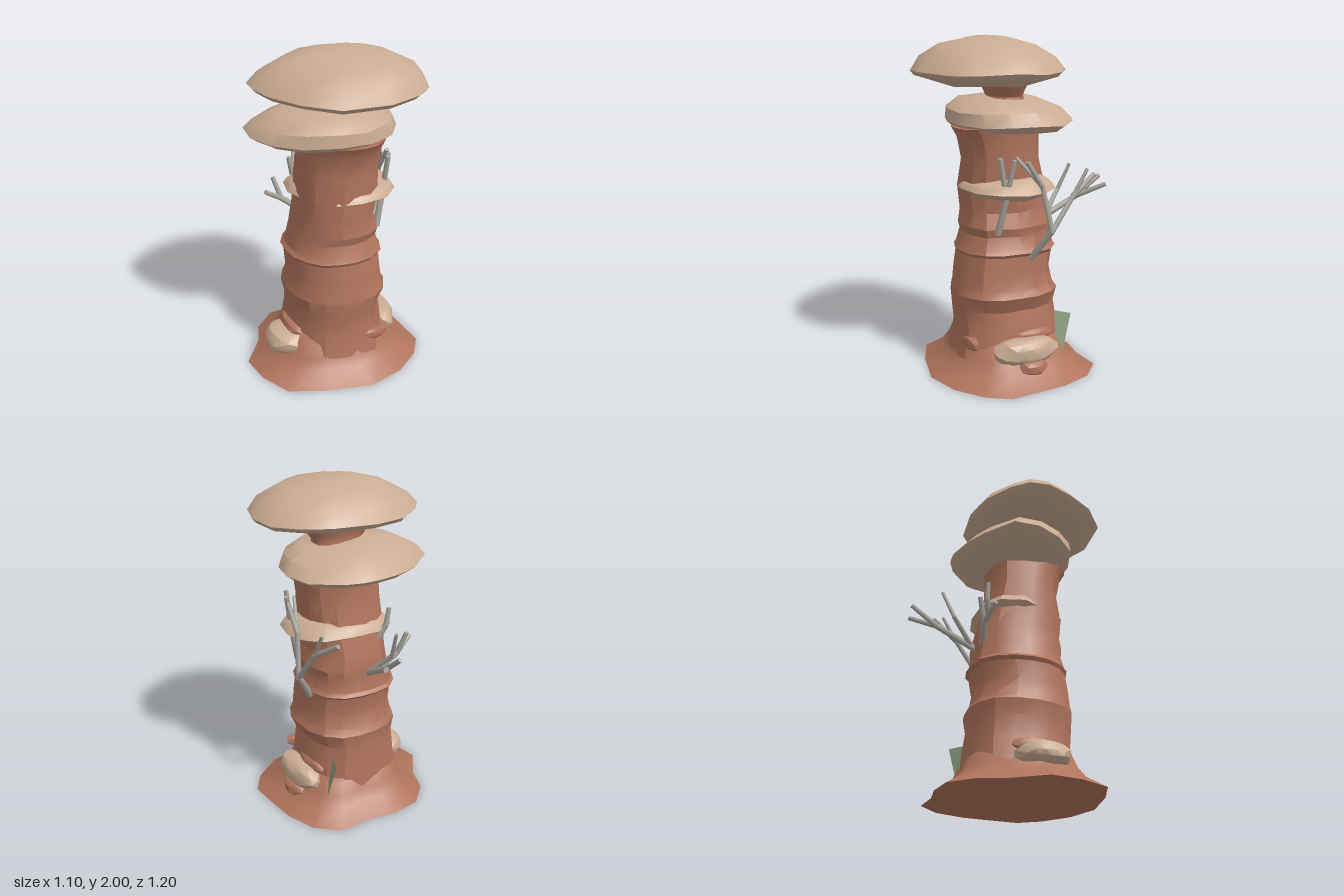
import * as THREE from 'three';
import { toCreasedNormals } from 'three/addons/utils/BufferGeometryUtils.js';

const mat = (name, color) => {
  const m = new THREE.MeshStandardMaterial({ color });
  m.name = name;
  return m;
};

// Smooth, repeatable unevenness from a position
const wobble = (x, y, z) =>
  Math.sin(x * 11 + y * 17 + 1) * 0.5 + Math.sin(z * 13 - y * 9 + x * 5) * 0.5;

// Skin a stack of closed rings (each running from +x towards +z), closing both ends
function loft(rings, crease = 0.6) {
  const n = rings[0].length, pos = [], idx = [];
  rings.forEach(r => r.forEach(p => pos.push(...p)));
  const ends = [rings[0], rings[rings.length - 1]];
  ends.forEach(r => pos.push(...[0, 1, 2].map(k => r.reduce((s, p) => s + p[k], 0) / n)));
  const bottom = rings.length * n, top = bottom + 1, last = (rings.length - 1) * n;
  for (let i = 0; i < n; i++) {
    const j = (i + 1) % n;
    for (let r = 0; r < last; r += n) {
      idx.push(r + i, r + n + i, r + j, r + j, r + n + i, r + n + j);
    }
    idx.push(bottom, i, j, top, last + j, last + i);
  }
  const g = new THREE.BufferGeometry();
  g.setAttribute('position', new THREE.Float32BufferAttribute(pos, 3));
  g.setIndex(idx);
  return toCreasedNormals(g, crease);
}

// Stack scaled copies of a plan outline; layers are [scale, y, forward shift]
function stack(outline, layers, amp, crease) {
  const mid = k => {
    const v = outline.map(p => p[k]);
    return (Math.max(...v) + Math.min(...v)) / 2;
  };
  const cx = mid(0), cz = mid(1);
  return loft(layers.map(([s, y, dz = 0]) => outline.map(([x, z]) => {
    const px = cx + (x - cx) * s, pz = cz + (z - cz) * s + dz;
    return [px, y + amp * wobble(px, y, pz), pz];
  })), crease);
}

// Rounded-square ring filling a box in plan, with a blunter front corner on the -x side
function ring([y, x0, x1, z0, z1], n = 18) {
  const pts = [];
  for (let i = 0; i < n; i++) {
    const a = (i / n) * Math.PI * 2, c = Math.cos(a), s = Math.sin(a);
    const e = c < 0 && s > 0 ? 2 : 2.6;
    const k = Math.pow(Math.abs(c) ** e + Math.abs(s) ** e, -1 / e);
    const w = 1 + 0.02 * wobble(c, y * 0.4, s);
    pts.push([(x0 + x1) / 2 + c * k * w * (x1 - x0) / 2, y + 0.004 * wobble(s, y, c),
      (z0 + z1) / 2 + s * k * w * (z1 - z0) / 2]);
  }
  return pts;
}

function boulder(rx, ry, rz) {
  const g = new THREE.IcosahedronGeometry(1, 2), p = g.attributes.position;
  const v = new THREE.Vector3();
  for (let i = 0; i < p.count; i++) {
    v.fromBufferAttribute(p, i);
    v.multiplyScalar(1 + 0.07 * wobble(v.x * 0.4, v.y * 0.4, v.z * 0.4));
    v.y = Math.max(-0.75, Math.min(0.8, v.y));
    p.setXYZ(i, v.x * rx, v.y * ry, v.z * rz);
  }
  g.deleteAttribute('uv');
  return toCreasedNormals(g, 0.5);
}

export function createModel() {
  const red = mat('red rock', 0xb0745c), tan = mat('tan stone', 0xcaac93);
  const wood = mat('dead wood', 0xa8a49d), green = mat('leaf green', 0x8c9d80);
  green.side = THREE.DoubleSide;
  const model = new THREE.Group();
  model.name = 'rockPillar';
  const add = (name, geo, m, parent = model) => {
    const mesh = new THREE.Mesh(geo, m);
    mesh.name = name;
    parent.add(mesh);
    return mesh;
  };

  // Spreading foot
  const foot = [[0.53, 0.05], [0.546, 0.234], [0.464, 0.364], [0.3, 0.49], [0.08, 0.555],
    [-0.2, 0.5], [-0.416, 0.418], [-0.514, 0.237], [-0.55, 0.05], [-0.42, -0.14],
    [-0.375, -0.285], [-0.245, -0.418], [-0.06, -0.44], [0.106, -0.415], [0.3, -0.43],
    [0.44, -0.307], [0.51, -0.123]];
  add('foot', stack(foot, [[1, 0], [0.77, 0.075], [0.69, 0.13], [0.63, 0.2], [0.52, 0.25]], 0, 0.8), red);

  // Banded column: y, x range, z range
  const bands = [
    [0.12, -0.31, 0.32, -0.27, 0.4], [0.28, -0.28, 0.3, -0.255, 0.365],
    [0.41, -0.27, 0.275, -0.24, 0.375], [0.5, -0.29, 0.318, -0.25, 0.385],
    [0.54, -0.275, 0.295, -0.225, 0.375], [0.63, -0.265, 0.285, -0.205, 0.365],
    [0.74, -0.27, 0.28, -0.225, 0.345], [0.76, -0.285, 0.295, -0.245, 0.355],
    [0.78, -0.265, 0.28, -0.23, 0.345], [0.86, -0.245, 0.26, -0.215, 0.32],
    [0.91, -0.235, 0.27, -0.22, 0.335], [1.0, -0.22, 0.24, -0.2, 0.32],
    [1.14, -0.22, 0.26, -0.17, 0.335], [1.3, -0.213, 0.265, -0.13, 0.31],
    [1.43, -0.205, 0.27, -0.13, 0.34], [1.49, -0.2, 0.28, -0.14, 0.38]];
  add('column', loft(bands.map(b => ring(b)), 0.45), red);
  add('neck', loft([[1.6, -0.125, 0.205, -0.045, 0.185], [1.66, -0.115, 0.195, -0.03, 0.16],
    [1.69, -0.14, 0.215, -0.035, 0.17], [1.74, -0.165, 0.25, -0.05, 0.19]].map(b => ring(b, 14))), red);

  // Overhanging cap stones
  const upper = [[0.49, 0], [0.52, 0.174], [0.444, 0.4], [0.334, 0.497], [0.128, 0.595],
    [-0.14, 0.57], [-0.315, 0.433], [-0.425, 0.253], [-0.473, 0.11], [-0.467, -0.015],
    [-0.39, -0.11], [-0.235, -0.22], [-0.03, -0.262], [0.24, -0.237], [0.38, -0.14]];
  add('upperCap', stack(upper, [[0.5, 1.718], [0.95, 1.782], [1, 1.808], [0.88, 1.882],
    [0.62, 1.952], [0.3, 1.99]], 0.01, 0.7), tan);
  const lower = [[0.415, -0.02], [0.38, 0.15], [0.29, 0.28], [0.12, 0.37], [-0.06, 0.38],
    [-0.26, 0.32], [-0.4, 0.19], [-0.475, 0.04], [-0.47, -0.11], [-0.3, -0.25],
    [-0.157, -0.316], [0.01, -0.357], [0.11, -0.35], [0.21, -0.307], [0.36, -0.17]];
  add('lowerCap', stack(lower, [[0.5, 1.435], [0.88, 1.475], [1, 1.51], [0.9, 1.58, 0.03],
    [0.62, 1.64, 0.06], [0.3, 1.663, 0.05]], 0.01, 0.7), tan);

  // Thin ledge around the column
  const ledge = [[0.385, 0.05], [0.36, 0.2], [0.25, 0.315], [0.08, 0.355], [-0.06, 0.325],
    [-0.19, 0.16], [-0.255, 0.03], [-0.23, -0.12], [-0.09, -0.2], [0.1, -0.205],
    [0.26, -0.17], [0.35, -0.07]];
  add('ledge', stack(ledge, [[0.75, 1.085], [1, 1.13], [0.93, 1.165], [0.7, 1.205]], 0.01), tan);

  // Boulders and rubble at the foot
  const rocks = [['leftBoulder', tan, -0.295, 0.17, 0.1, 0.145, 0.085, 0.16],
    ['rightBoulder', tan, 0.325, 0.18, 0.05, 0.095, 0.095, 0.205],
    ['rubble', red, 0.36, 0.09, 0.03, 0.08, 0.06, 0.1],
    ['rubble', red, 0.27, 0.25, 0.0, 0.05, 0.05, 0.14],
    ['rubble', red, -0.25, 0.23, 0.07, 0.07, 0.06, 0.15],
    ['rubble', red, 0.17, 0.22, 0.335, 0.1, 0.045, 0.035]];
  for (const [name, m, x, y, z, rx, ry, rz] of rocks) {
    add(name, boulder(rx, ry, rz), m).position.set(x, y, z);
  }

  // Dead branches: each limb is a tapering run of points
  const limbs = {
    rightBranch: [
      [[0.28, 0.73, -0.01], [0.39, 0.905, -0.085], [0.365, 1.165, -0.035], [0.31, 1.33, 0.1]],
      [[0.365, 1.165, -0.035], [0.37, 1.31, 0.06]],
      [[0.39, 0.905, -0.085], [0.362, 1.1, -0.237], [0.365, 1.245, -0.32]],
      [[0.362, 1.1, -0.237], [0.31, 1.2, -0.395]]],
    frontBranch: [
      [[0.25, 0.89, 0.19], [0.3, 1.1, 0.16], [0.31, 1.33, 0.2]],
      [[0.3, 1.1, 0.16], [0.345, 1.32, 0.13]]],
    backBranch: [
      [[-0.01, 0.87, -0.18], [0.015, 1.01, -0.437], [0.03, 1.13, -0.59]],
      [[0.015, 1.01, -0.437], [0.12, 1.09, -0.585]],
      [[0, 0.89, -0.22], [-0.077, 1.04, -0.357], [-0.055, 1.2, -0.427]]],
    leftBranch: [
      [[-0.09, 0.88, -0.19], [-0.21, 0.97, -0.215], [-0.32, 1.045, -0.18]],
      [[-0.21, 0.97, -0.215], [-0.25, 1.1, -0.25]]],
    upperTwig: [[[-0.1, 1.05, -0.15], [-0.15, 1.15, -0.18], [-0.17, 1.25, -0.18]]]
  };
  const up = new THREE.Vector3(0, 1, 0);
  for (const [name, runs] of Object.entries(limbs)) {
    const branch = new THREE.Group();
    branch.name = name;
    model.add(branch);
    runs.forEach((run, r) => {
      for (let i = 0; i + 1 < run.length; i++) {
        const a = new THREE.Vector3(...run[i]), b = new THREE.Vector3(...run[i + 1]);
        const r0 = Math.max(0.012, 0.021 - 0.004 * (i + (r ? 1 : 0)));
        const dir = b.clone().sub(a);
        const limb = add('limb', new THREE.CylinderGeometry(r0 - 0.003, r0, dir.length() + 0.01, 7), wood, branch);
        limb.position.copy(a).add(b).multiplyScalar(0.5);
        limb.quaternion.setFromUnitVectors(up, dir.normalize());
      }
    });
  }

  // Single flat leaf at the back
  const leaf = new THREE.BufferGeometry();
  leaf.setAttribute('position', new THREE.Float32BufferAttribute(
    [0.285, 0.12, -0.22, 0.26, 0.34, -0.285, 0.225, 0.36, -0.19, 0.255, 0.2, -0.185], 3));
  leaf.setIndex([0, 1, 2, 0, 2, 3]);
  leaf.computeVertexNormals();
  add('leaf', leaf, green);

  return model;
}
